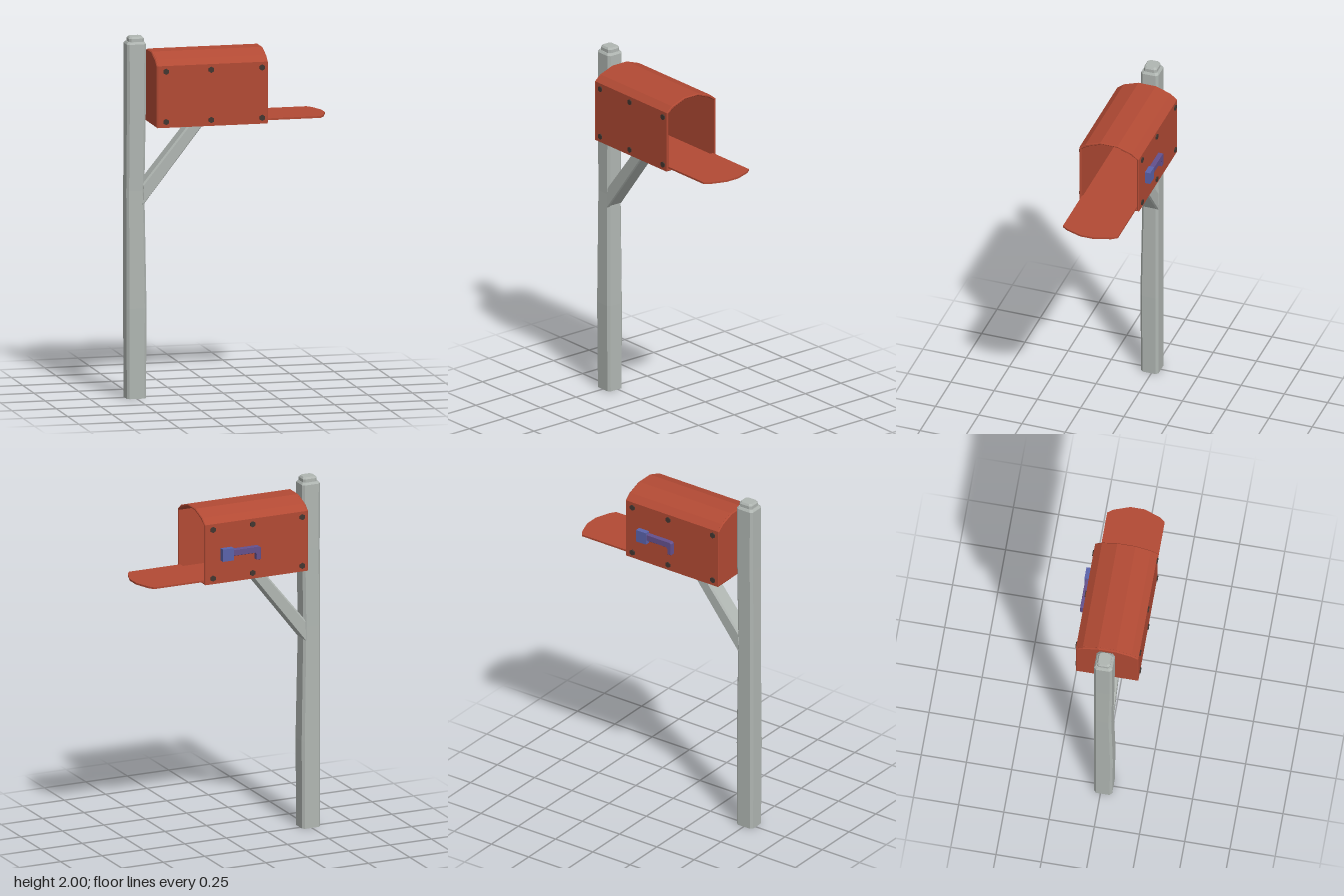
import * as THREE from 'three';

const mat = (name, color, extra = {}) => {
  const m = new THREE.MeshStandardMaterial({ color, ...extra });
  m.name = name;
  return m;
};

// Chamfered square prism lofted through rings of [y, width, depth, centreX, centreZ]
function loft(rings, chamfer) {
  const loops = rings.map(([y, w, d, cx, cz]) => {
    const a = w / 2, b = d / 2, c = chamfer;
    return [[a, b - c], [a - c, b], [c - a, b], [-a, b - c], [-a, c - b], [c - a, -b], [a - c, -b], [a, c - b]]
      .map(([x, z]) => [cx + x, y, cz + z]);
  });
  const pos = [];
  const tri = (p, q, r) => pos.push(...p, ...q, ...r);
  const n = 8;
  for (let k = 0; k < loops.length - 1; k++) {
    for (let i = 0; i < n; i++) {
      const j = (i + 1) % n, lo = loops[k], hi = loops[k + 1];
      tri(lo[i], hi[i], hi[j]);
      tri(lo[i], hi[j], lo[j]);
    }
  }
  const top = loops[loops.length - 1], bottom = loops[0];
  for (let i = 1; i < n - 1; i++) {
    tri(top[0], top[i + 1], top[i]);
    tri(bottom[0], bottom[i], bottom[i + 1]);
  }
  const g = new THREE.BufferGeometry();
  g.setAttribute('position', new THREE.Float32BufferAttribute(pos, 3));
  g.computeVertexNormals();
  return g;
}

const toShape = (pts) => new THREE.Shape(pts.map(([x, y]) => new THREE.Vector2(x, y)));

// Extrusion whose bevel stays inside the given outline and depth
function slab(shape, depth, bevel) {
  const g = new THREE.ExtrudeGeometry(shape, {
    depth: depth - 2 * bevel, bevelEnabled: bevel > 0, bevelSegments: 1,
    bevelSize: bevel, bevelThickness: bevel, bevelOffset: -bevel,
  });
  return g.translate(0, 0, bevel);
}

export function createModel() {
  const group = new THREE.Group();
  const wood = mat('greyWood', 0xb0b6b2, { flatShading: true });
  const red = mat('redPaint', 0xb24a34, { flatShading: true });
  const dark = mat('darkRivet', 0x423630, { flatShading: true });
  const purple = mat('purpleArm', 0x64508c, { flatShading: true });
  const blue = mat('blueFlag', 0x5a62aa, { flatShading: true });
  const add = (name, geometry, material, x = 0, y = 0, z = 0) => {
    const m = new THREE.Mesh(geometry, material);
    m.name = name;
    m.position.set(x, y, z);
    group.add(m);
    return m;
  };
  const cz = 0.013;

  // Slightly uneven post with a stepped cap
  add('post', loft([
    [0, 0.108, 0.1, -0.5, cz],
    [0.5, 0.112, 0.104, -0.5, cz + 0.002],
    [1.15, 0.102, 0.094, -0.505, cz - 0.002],
    [1.6, 0.106, 0.1, -0.5, cz],
    [1.96, 0.108, 0.1, -0.5, cz],
    [1.972, 0.092, 0.084, -0.5, cz],
  ], 0.013), wood);
  add('postCap', loft([
    [1.968, 0.084, 0.076, -0.498, cz],
    [1.99, 0.084, 0.076, -0.498, cz],
    [2, 0.07, 0.062, -0.498, cz],
  ], 0.012), wood);

  // Diagonal brace between the post and the floor of the box
  add('brace', slab(toShape([[-0.47, 1.061], [-0.111, 1.52], [-0.195, 1.52], [-0.47, 1.182]]), 0.098, 0.009),
    wood, 0, 0, cz - 0.049);

  // Box: hollow shell with an arched roof, open at +x
  const half = [[0.173, 1.515], [0.173, 1.857], [0.135, 1.888], [0.05, 1.918]];
  const arch = (t) => {
    const right = half.map(([x, y], i) => [x - (i < 3 ? t : t * 0.6), i === 0 ? y + t : y - t * (i === 1 ? 0.4 : 0.9)]);
    return [...right, ...right.map(([x, y]) => [-x, y]).reverse()];
  };
  const shell = toShape(arch(0));
  shell.holes.push(new THREE.Path(arch(0.013).reverse().map(([x, y]) => new THREE.Vector2(x, y))));
  add('boxShell', slab(shell, 0.617, 0.004).rotateY(Math.PI / 2), red, -0.412, 0, cz);
  add('boxBack', slab(toShape(arch(0)), 0.016, 0.005).rotateY(Math.PI / 2), red, -0.42, 0, cz);

  // Open door lying flat
  const edge = [[0.195, 0.159], [0.505, 0.159], [0.527, 0.128], [0.558, 0.04]];
  const doorShape = toShape([...edge.map(([x, z]) => [x, -z]), ...edge.map(([x, z]) => [x, z]).reverse()]);
  add('door', slab(doorShape, 0.01, 0).rotateX(-Math.PI / 2), red, 0, 1.53, cz);

  // Rivets on both sides
  for (const [z, xs] of [[0.187, [-0.368, -0.114, 0.172]], [-0.161, [-0.382, -0.082, 0.157]]]) {
    for (const x of xs) for (const y of [1.548, 1.826]) {
      add('rivet', new THREE.CylinderGeometry(0.017, 0.017, 0.01, 6).rotateX(Math.PI / 2), dark, x, y, z);
    }
  }

  // Signal flag on the back side: hooked arm and block
  const armShape = toShape([
    [-0.12, 1.628], [-0.095, 1.628], [-0.095, 1.658], [-0.085, 1.668],
    [0.05, 1.668], [0.05, 1.704], [-0.11, 1.704], [-0.12, 1.696],
  ]);
  add('flagArm', slab(armShape, 0.028, 0.002), purple, 0, 0, -0.187);
  add('flagBlock', new THREE.BoxGeometry(0.066, 0.07, 0.031), blue, 0.078, 1.68, -0.1765);

  return group;
}
